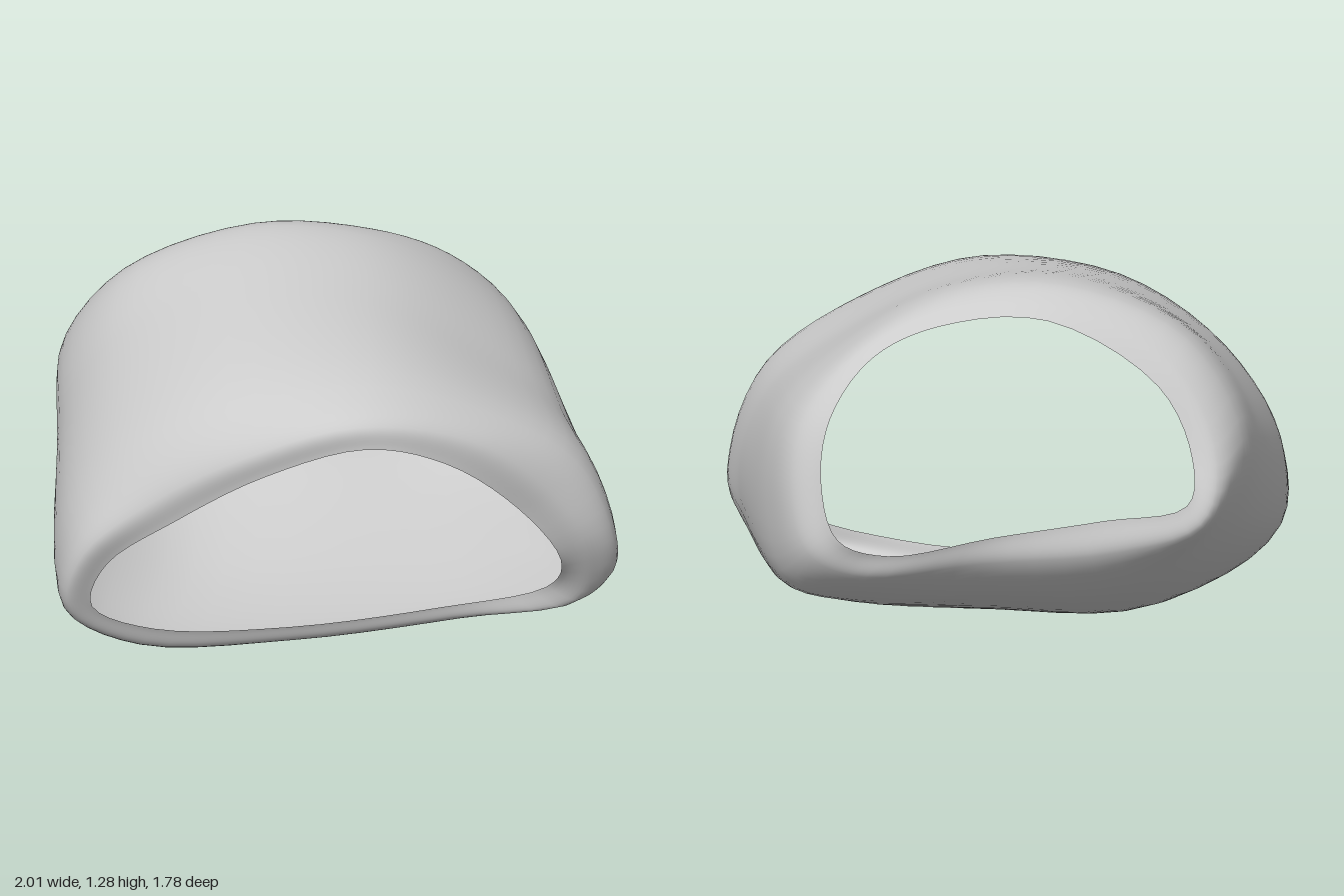
import * as THREE from 'three';

// Each cross-section runs counter-clockwise seen from the front, starting at the +x side.
const frontRim = [
  [0.83, 0.38, 0.46], [0.7, 0.61, 0.57], [0.47, 0.83, 0.72], [0.21, 0.92, 0.84],
  [-0.14, 0.81, 0.88], [-0.45, 0.62, 0.87], [-0.69, 0.43, 0.835], [-0.75, 0.24, 0.77],
  [-0.55, 0.12, 0.66], [-0.1, 0.09, 0.51], [0.4, 0.13, 0.36], [0.76, 0.22, 0.34]];
const frontLip = [
  [0.93, 0.42, 0.44], [0.8, 0.67, 0.53], [0.55, 0.9, 0.67], [0.18, 1.0, 0.84],
  [-0.21, 0.88, 0.89], [-0.53, 0.69, 0.88], [-0.77, 0.47, 0.855], [-0.83, 0.22, 0.775],
  [-0.6, 0.05, 0.64], [-0.1, 0.03, 0.48], [0.45, 0.08, 0.33], [0.87, 0.18, 0.34]];
const frontShoulder = [
  [1.0, 0.43, 0.35], [0.88, 0.73, 0.38], [0.59, 0.95, 0.5], [0.19, 1.09, 0.64],
  [-0.28, 1.02, 0.74], [-0.65, 0.8, 0.73], [-0.86, 0.52, 0.69], [-0.88, 0.22, 0.6],
  [-0.62, 0.03, 0.45], [-0.1, 0.0, 0.34], [0.48, 0.06, 0.22], [0.97, 0.25, 0.29]];
const middle = [
  [0.87, 0.45, 0], [0.76, 0.75, 0], [0.49, 0.98, 0.05], [0.1, 1.18, 0.1],
  [-0.35, 1.2, 0.18], [-0.76, 0.99, 0.2], [-0.95, 0.67, 0.18], [-0.91, 0.35, 0.1],
  [-0.6, 0.09, 0], [-0.1, 0.06, -0.1], [0.38, 0.09, -0.15], [0.79, 0.22, -0.08]];
const backShoulder = [
  [0.6, 0.5, -0.58], [0.57, 0.82, -0.5], [0.37, 1.05, -0.38], [0.05, 1.23, -0.26],
  [-0.35, 1.27, -0.18], [-0.78, 1.1, -0.12], [-1.0, 0.77, -0.18], [-0.94, 0.49, -0.31],
  [-0.66, 0.27, -0.4], [-0.15, 0.23, -0.52], [0.25, 0.22, -0.65], [0.49, 0.27, -0.67]];
const backLip = [
  [0.43, 0.55, -0.8], [0.45, 0.84, -0.68], [0.3, 1.06, -0.53], [0.05, 1.2, -0.39],
  [-0.34, 1.24, -0.29], [-0.77, 1.05, -0.26], [-0.965, 0.73, -0.36], [-0.94, 0.54, -0.47],
  [-0.67, 0.45, -0.58], [-0.2, 0.39, -0.66], [0.16, 0.36, -0.83], [0.34, 0.42, -0.86]];
const backRim = [
  [0.32, 0.68, -0.82], [0.32, 0.88, -0.72], [0.22, 1.06, -0.56], [0.02, 1.16, -0.45],
  [-0.35, 1.19, -0.36], [-0.74, 0.98, -0.33], [-0.88, 0.75, -0.39], [-0.89, 0.61, -0.48],
  [-0.62, 0.56, -0.58], [-0.25, 0.49, -0.66], [0.08, 0.44, -0.82], [0.24, 0.5, -0.885]];

// Smooth skin through closed cross-sections, open at both ends
function loft(sections, around, along) {
  const loops = sections.map((s) =>
    new THREE.CatmullRomCurve3(s.map((p) => new THREE.Vector3(...p)), true));
  const positions = [];
  const index = [];
  for (let i = 0; i < around; i++) {
    const rib = new THREE.CatmullRomCurve3(loops.map((c) => c.getPoint(i / around)));
    for (let j = 0; j <= along; j++) positions.push(...rib.getPoint(j / along).toArray());
  }
  const row = along + 1;
  for (let i = 0; i < around; i++) {
    for (let j = 0; j < along; j++) {
      const a = i * row + j;
      const b = ((i + 1) % around) * row + j;
      index.push(a, a + 1, b, b, a + 1, b + 1);
    }
  }
  const geometry = new THREE.BufferGeometry();
  geometry.setAttribute('position', new THREE.Float32BufferAttribute(positions, 3));
  geometry.setIndex(index);
  geometry.computeVertexNormals();
  return geometry;
}

export function createModel() {
  const group = new THREE.Group();
  group.name = 'openShell';

  // Thin rounded band with an inward-turned lip at each opening
  const shell = new THREE.Mesh(
    loft([frontRim, frontLip, frontShoulder, middle, backShoulder, backLip, backRim], 60, 48),
    new THREE.MeshStandardMaterial({ color: 0xcccccc, side: THREE.DoubleSide }));
  shell.name = 'shell';
  group.add(shell);
  return group;
}
